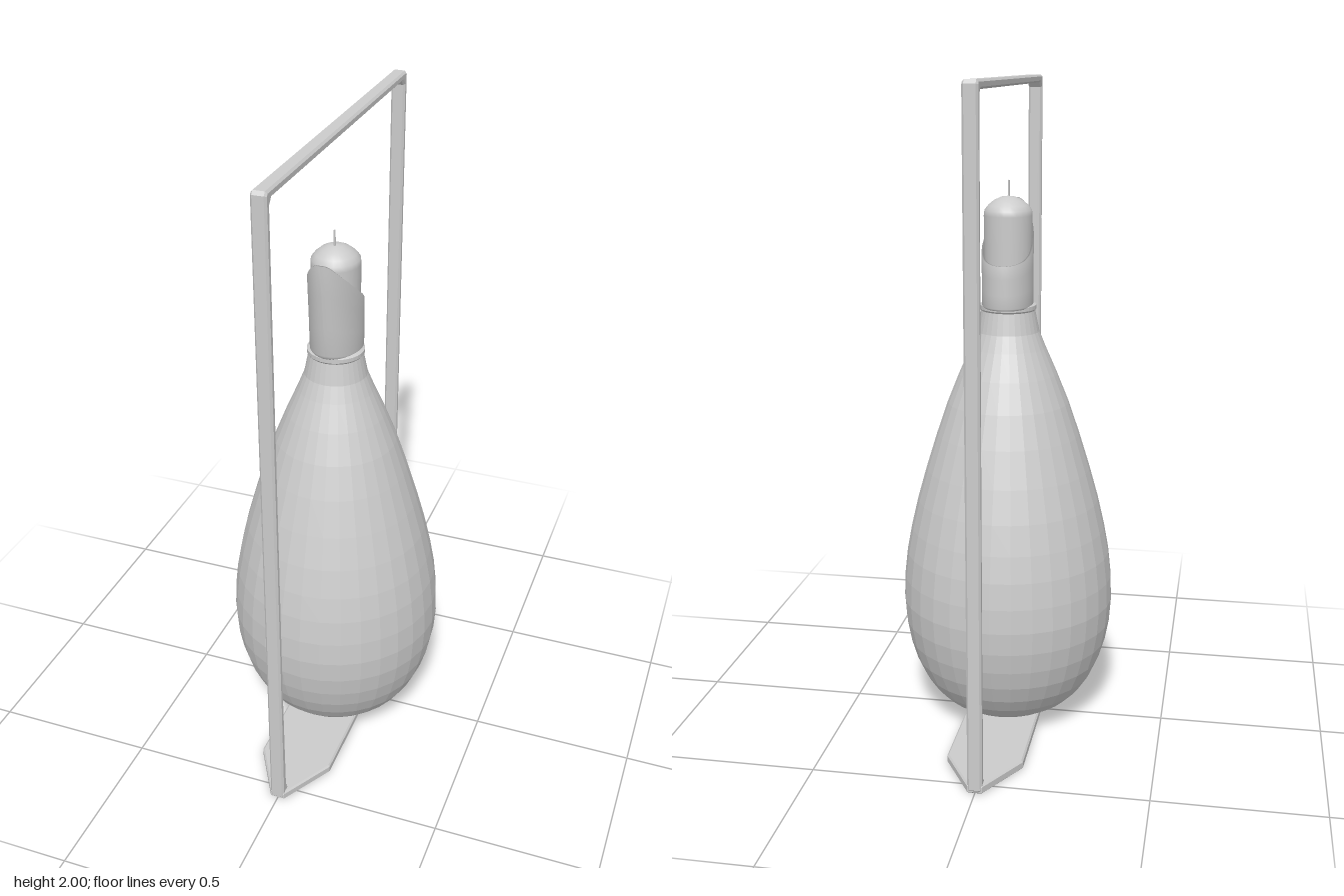
import * as THREE from 'three';

const CENTRE_Z = 0.015; // the bottle stands slightly forward of the frame centre

const grey = (opts = {}) => new THREE.MeshStandardMaterial({ color: 0xcccccc, ...opts });
const polygon = (points, Type = THREE.Shape) => new Type(points.map(p => new THREE.Vector2(...p)));

function addMesh(group, name, geometry, material) {
  const mesh = new THREE.Mesh(geometry, material);
  mesh.name = name;
  group.add(mesh);
  return mesh;
}

function lathe(points, segments) {
  return new THREE.LatheGeometry(points.map(p => new THREE.Vector2(...p)), segments);
}

// Slanted sleeve: oval section, front leaning outwards, top cut by a curved slope
function collarGeometry() {
  const around = 40;
  const bottom = 1.325;
  const cutCurve = new THREE.SplineCurve([
    [-0.095, 1.46], [-0.05, 1.475], [0, 1.505], [0.08, 1.572], [0.145, 1.64],
  ].map(p => new THREE.Vector2(...p)));
  const cut = cutCurve.getPoints(60);
  const cutHeight = z => {
    const i = cut.findIndex(p => p.x >= z);
    return i < 0 ? 1.64 : cut[i].y;
  };
  // Wall rings: [inset, fraction of the height]; the last ones return down the inside
  const rings = [[0.02, 0], [0.006, 0.015], [0, 0.06], [0, 0.35], [0, 0.7], [0, 1], [0.006, 1], [0.006, 0.1]];
  const positions = [], index = [];
  rings.forEach(([inset, t], r) => {
    for (let i = 0; i <= around; i++) {
      const a = (i / around) * Math.PI * 2;
      const c = Math.cos(a);
      // Find where this side of the wall meets the slanted cut
      const wallZ = y => 0.005 + c * 0.1 + Math.max(c, 0) * 0.04 * (y - bottom) / 0.315;
      let top = 1.5;
      for (let k = 0; k < 8; k++) top = cutHeight(wallZ(top));
      const y = bottom + (top - bottom) * t;
      positions.push(Math.sin(a) * (0.077 - inset), y, wallZ(y) - c * inset);
      if (r > 0 && i < around) {
        const p = (r - 1) * (around + 1) + i, q = p + around + 1;
        index.push(p, p + 1, q, p + 1, q + 1, q);
      }
    }
  });
  const geometry = new THREE.BufferGeometry();
  geometry.setAttribute('position', new THREE.Float32BufferAttribute(positions, 3));
  geometry.setIndex(index);
  geometry.computeVertexNormals();
  return geometry;
}

// Upright rectangular loop with chamfered bars, thicker towards the foot
function frameGeometry() {
  const shape = polygon([
    [-0.553, 0.015], [-0.545, 0.005], [0.545, 0.005], [0.553, 0.015],
    [0.553, 1.99], [0.545, 2], [-0.545, 2], [-0.553, 1.99],
  ]);
  const half = [[0.51, 0.03], [0.525, 0.045], [0.53, 0.45], [0.53, 1.96], [0.518, 1.975]];
  const mirrored = half.map(([z, y]) => [-z, y]).reverse();
  shape.holes.push(polygon([...half, ...mirrored], THREE.Path));
  const bevel = 0.006, width = 0.044;
  const geometry = new THREE.ExtrudeGeometry(shape, {
    depth: width - 2 * bevel, bevelSize: bevel, bevelThickness: bevel,
    bevelOffset: -bevel, bevelSegments: 1,
  });
  return geometry.translate(0, 0, bevel - width / 2).rotateY(-Math.PI / 2);
}

// Flat base with pointed ends
function baseGeometry() {
  const shape = polygon([
    [0.115, -0.39], [0.115, 0.39], [0.022, 0.55], [-0.022, 0.55],
    [-0.115, 0.39], [-0.115, -0.39], [-0.022, -0.55], [0.022, -0.55],
  ]);
  const geometry = new THREE.ExtrudeGeometry(shape, {
    depth: 0.018, bevelSize: 0.005, bevelThickness: 0.005, bevelOffset: -0.005, bevelSegments: 1,
  });
  return geometry.rotateX(Math.PI / 2).translate(0, 0.026, 0);
}

export function createModel() {
  const group = new THREE.Group();
  const flat = grey({ flatShading: true });

  addMesh(group, 'carryingFrame', frameGeometry(), flat);
  addMesh(group, 'basePlate', baseGeometry(), flat);

  // Teardrop bottle with a narrow neck and a small lip
  const bottle = lathe([
    [0, 0.03], [0.13, 0.031], [0.165, 0.04], [0.205, 0.065], [0.24, 0.1], [0.27, 0.145],
    [0.295, 0.2], [0.313, 0.26], [0.325, 0.325], [0.33, 0.395], [0.327, 0.47],
    [0.318, 0.55], [0.303, 0.63], [0.282, 0.72], [0.254, 0.82], [0.22, 0.93],
    [0.186, 1.03], [0.15, 1.12], [0.115, 1.2], [0.095, 1.25], [0.082, 1.315],
    [0.086, 1.32], [0.086, 1.332], [0.07, 1.34], [0, 1.34],
  ], 32);
  addMesh(group, 'bottle', bottle, flat).position.z = CENTRE_Z;

  addMesh(group, 'collar', collarGeometry(), grey({ side: THREE.DoubleSide }));

  // Stopper with a domed top, and a thin wick
  const stopper = lathe([
    [0.07, 1.335], [0.073, 1.6], [0.071, 1.616], [0.06, 1.63], [0.043, 1.644], [0.022, 1.654], [0, 1.657],
  ], 24);
  const stopperMesh = addMesh(group, 'stopper', stopper, grey());
  stopperMesh.position.z = CENTRE_Z;
  stopperMesh.scale.z = 1.04;

  const wick = new THREE.CylinderGeometry(0.003, 0.003, 0.055, 6).translate(0, 1.675, 0.025);
  addMesh(group, 'wick', wick, flat);

  return group;
}
